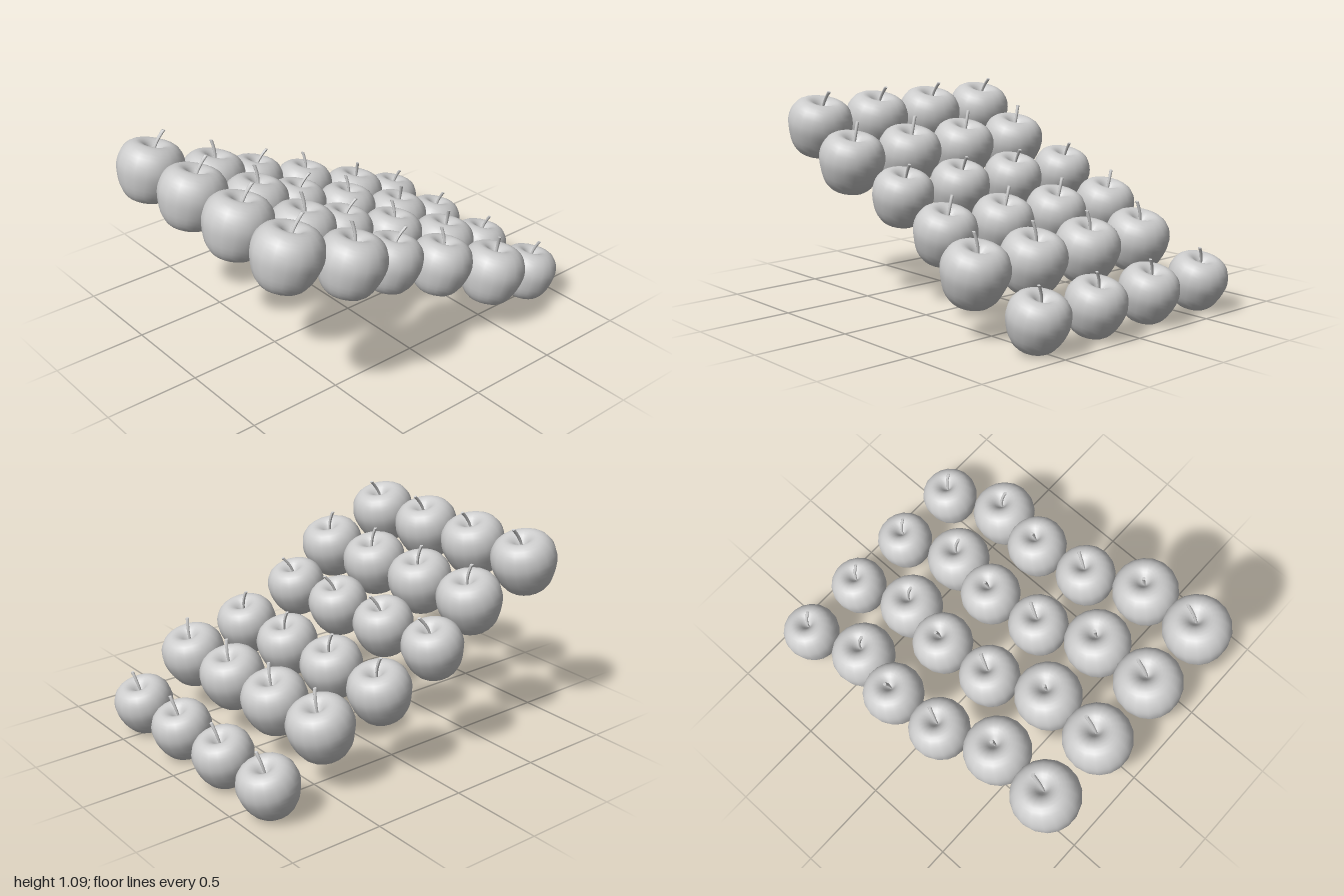
import * as THREE from 'three';

const material = new THREE.MeshStandardMaterial({ color: 0xcccccc });

// Unit apple body: dimpled top and bottom, widest just above the middle
function bodyGeometry() {
  const key = [
    [0, -0.64], [0.14, -0.7], [0.36, -0.865], [0.58, -0.8], [0.8, -0.53],
    [0.95, -0.13], [1, 0.2], [0.93, 0.53], [0.75, 0.77], [0.5, 0.865],
    [0.28, 0.78], [0.11, 0.6], [0, 0.5],
  ].map(([r, y]) => new THREE.Vector2(r, y));
  const points = new THREE.SplineCurve(key).getPoints(30);
  points.forEach((p) => { p.x = Math.max(p.x, 0); });
  points[0].x = points[points.length - 1].x = 0;
  return new THREE.LatheGeometry(points, 18);
}

// Curved stalk leaning to +x, flaring a little at its tip
function stemGeometry() {
  const geo = new THREE.CylinderGeometry(0.055, 0.036, 0.77, 8, 8);
  geo.translate(0, 0.385, 0);
  const pos = geo.attributes.position;
  for (let i = 0; i < pos.count; i++) {
    const t = pos.getY(i) / 0.77;
    pos.setXYZ(i, pos.getX(i) + 0.24 * t * t, 0.48 + pos.getY(i) - 0.1 * t * pos.getX(i), pos.getZ(i));
  }
  geo.computeVertexNormals();
  return geo;
}

export function createModel() {
  const model = new THREE.Group();
  model.name = 'appleDisplay';
  const body = bodyGeometry();
  const stem = stemGeometry();

  // Each column: x, y, z of the rearmost apple, radius, stem direction in degrees
  const columns = [
    [-0.825, 0.885, -0.573, 0.174, 0],
    [-0.482, 0.735, -0.533, 0.172, 218],
    [-0.16, 0.585, -0.615, 0.159, 28],
    [0.178, 0.443, -0.612, 0.162, 225],
    [0.483, 0.313, -0.54, 0.172, 145],
    [0.843, 0.148, -0.608, 0.155, 98],
  ];
  const rows = 4;
  const spacing = 0.377;
  const tilt = -THREE.MathUtils.degToRad(15);

  columns.forEach(([x, y, z, radius, turn], c) => {
    for (let r = 0; r < rows; r++) {
      const apple = new THREE.Group();
      apple.name = `apple_${c + 1}_${r + 1}`;
      const appleBody = new THREE.Mesh(body, material);
      appleBody.name = 'appleBody';
      const appleStem = new THREE.Mesh(stem, material);
      appleStem.name = 'appleStem';
      apple.add(appleBody, appleStem);
      // Turn about its own axis, then tilt down the slope
      apple.rotation.set(0, -THREE.MathUtils.degToRad(turn), tilt, 'ZYX');
      apple.scale.setScalar(radius);
      apple.position.set(x, y, z + r * spacing);
      model.add(apple);
    }
  });
  return model;
}
